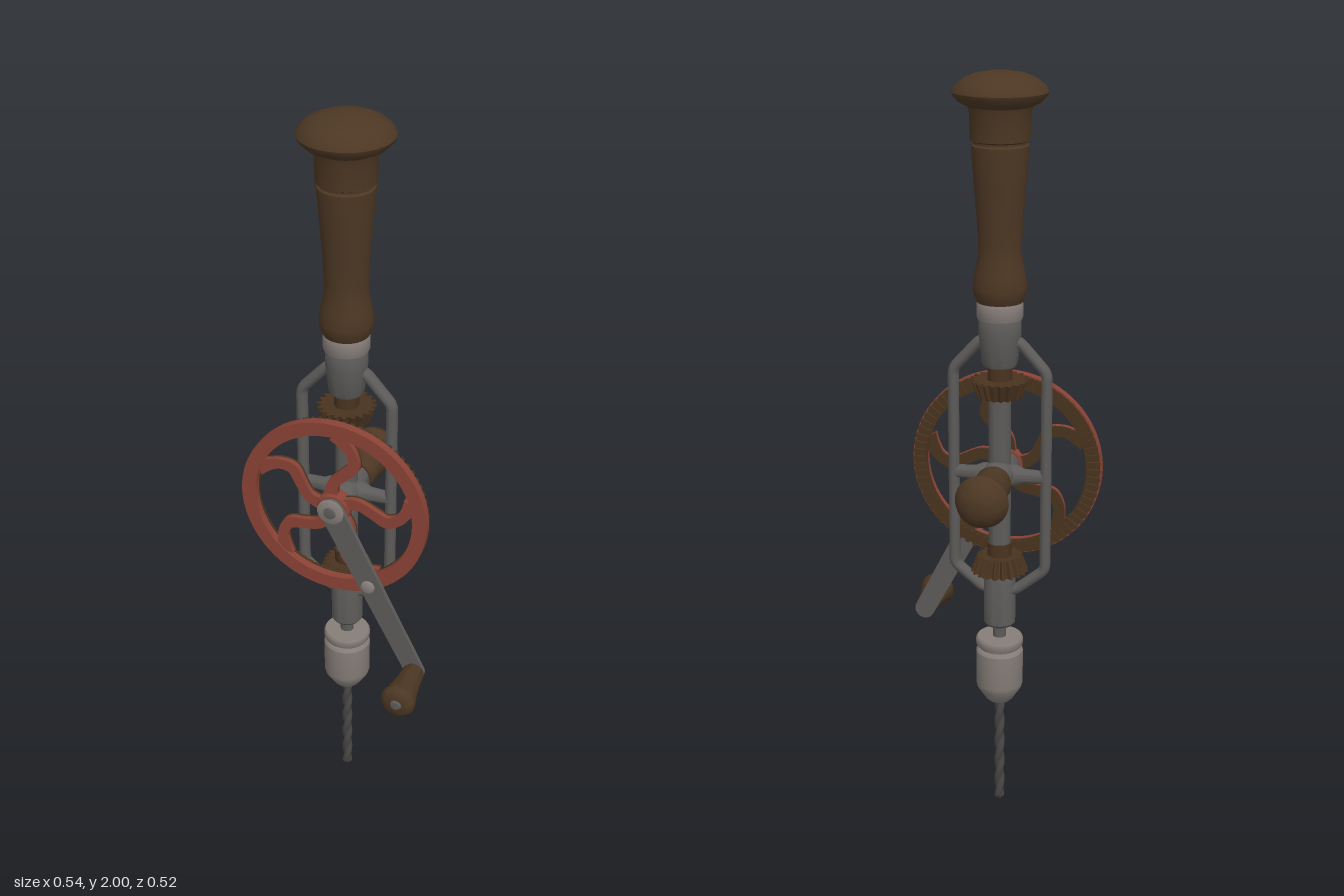
import * as THREE from 'three';
import { toCreasedNormals, mergeGeometries } from 'three/addons/utils/BufferGeometryUtils.js';

const mat = (name, color) => Object.assign(new THREE.MeshStandardMaterial({ color }), { name });

export function createModel() {
  const wood = mat('dark wood', 0x4c3723);
  const red = mat('worn red paint', 0x8a4236);
  const rust = mat('rusty brown', 0x49331f);
  const steel = mat('grey steel', 0x5c5b59);
  const pale = mat('pale steel', 0x857d78);
  const dark = mat('drill steel', 0x484644);

  const root = new THREE.Group();
  root.name = 'handDrill';
  const drill = new THREE.Group();
  drill.name = 'drillBody';
  drill.position.set(-0.015, 0, -0.008);
  root.add(drill);

  const add = (name, geo, material, parent = drill) => {
    const m = new THREE.Mesh(geo, material);
    m.name = name;
    parent.add(m);
    return m;
  };
  // Turned part: profile of [radius, height], rising
  const turned = (pts, seg = 32) => toCreasedNormals(
    new THREE.LatheGeometry(pts.map(p => new THREE.Vector2(p[0], p[1])), seg), 0.6);
  const rod = (r, a, b) => turned([[0, a], [r, a], [r, b], [0, b]], 20);

  // Main handle and cap
  add('handle', turned([[0, 1.437], [0.058, 1.437], [0.066, 1.455], [0.069, 1.475], [0.063, 1.51], [0.055, 1.55],
    [0.054, 1.58], [0.058, 1.65], [0.064, 1.73], [0.071, 1.815], [0.071, 1.825], [0.066, 1.829], [0.066, 1.834],
    [0.074, 1.838], [0.075, 1.9], [0.08, 1.918], [0.1, 1.928], [0.115, 1.943], [0.118, 1.952], [0.111, 1.966],
    [0.092, 1.981], [0.064, 1.993], [0.03, 1.999], [0, 2]]), wood);
  add('ferrule', turned([[0, 1.394], [0.057, 1.394], [0.059, 1.4], [0.059, 1.43], [0.056, 1.438], [0, 1.438]]), pale);
  add('upperSocket', turned([[0, 1.27], [0.042, 1.27], [0.046, 1.28], [0.054, 1.35], [0.054, 1.388],
    [0.05, 1.396], [0, 1.396]]), steel);

  // Spindle
  add('spindle', rod(0.029, 0.78, 1.19), steel);
  add('upperCollar', rod(0.032, 1.23, 1.275), rust);
  add('lowerCollar', rod(0.032, 0.745, 0.785), rust);

  // Bevel pinions, each with ridged cone
  const pinion = (flip) => {
    const teeth = 20, g = new THREE.CylinderGeometry(0.076, 0.059, 0.045, teeth * 4, 1);
    const p = g.attributes.position;
    for (let i = 0; i < p.count; i++) {
      const x = p.getX(i), z = p.getZ(i);
      const k = Math.round((Math.atan2(z, x) / (2 * Math.PI) + 1) * teeth * 4) % 4;
      const s = k < 2 ? 1 : 0.85;
      p.setXYZ(i, x * s, p.getY(i), z * s);
    }
    if (flip) g.rotateX(Math.PI);
    return toCreasedNormals(g, 0.3);
  };
  add('upperPinion', pinion(false), rust).position.y = 1.211;
  add('lowerPinion', pinion(true), rust).position.y = 0.727;

  // Lower socket, neck and chuck
  add('lowerSocket', turned([[0, 0.548], [0.036, 0.548], [0.042, 0.556], [0.042, 0.68], [0.036, 0.706], [0, 0.706]]), steel);
  add('neck', rod(0.018, 0.5, 0.55), steel);
  add('chuck', turned([[0, 0.32], [0.03, 0.32], [0.037, 0.327], [0.06, 0.362], [0.063, 0.375], [0.063, 0.47],
    [0.058, 0.477], [0.052, 0.478], [0.052, 0.484], [0.06, 0.485], [0.063, 0.49], [0.063, 0.506],
    [0.059, 0.512], [0, 0.512]]), pale);

  // Twisted bit with a pointed tip
  const bit = new THREE.CylinderGeometry(0.0145, 0.0145, 0.33, 16, 90);
  const bp = bit.attributes.position;
  for (let i = 0; i < bp.count; i++) {
    const y = bp.getY(i) + 0.165, x = bp.getX(i), z = bp.getZ(i);
    const groove = 0.6 + 0.4 * Math.abs(Math.cos(Math.atan2(z, x) + y * 52));
    const s = groove * Math.min(1, (y + 0.001) / 0.014);
    bp.setXYZ(i, x * s, y, z * s);
  }
  bit.computeVertexNormals();
  add('drillBit', bit, dark).position.y = 0.002;

  // Side frame bars, mirrored
  for (const s of [1, -1]) {
    const corners = [[0.02, 1.34], [0.05, 1.335], [0.122, 1.255], [0.122, 0.715], [0.045, 0.652], [0.02, 0.648]]
      .map(c => new THREE.Vector3(c[0] * s, c[1], 0));
    const path = new THREE.CurvePath();
    let from = corners[0];
    for (let i = 1; i < corners.length - 1; i++) {
      const c = corners[i];
      const a = c.clone().add(corners[i - 1].clone().sub(c).setLength(0.015));
      const b = c.clone().add(corners[i + 1].clone().sub(c).setLength(0.015));
      path.add(new THREE.LineCurve3(from, a));
      path.add(new THREE.QuadraticBezierCurve3(a, c, b));
      from = b;
    }
    path.add(new THREE.LineCurve3(from, corners[corners.length - 1]));
    const bar = new THREE.TubeGeometry(path, 90, 0.0145, 12);
    bar.scale(1, 1, 1.25);
    add('frameBar', bar, steel);
    // Cross arm from hub to frame bar
    const arm = turned([[0.03, 0.02], [0.028, 0.045], [0.019, 0.065], [0.017, 0.122]], 16);
    arm.rotateZ(-s * Math.PI / 2);
    add('crossArm', arm, steel).position.y = 0.975;
  }

  // Parts on the crank axis
  const axis = new THREE.Group();
  axis.name = 'crankAxis';
  axis.position.set(0, 0.975, 0.008);
  drill.add(axis);
  const alongZ = (pts, dir = 1, seg = 28) => turned(pts, seg).rotateX(dir * Math.PI / 2);
  add('axleBoss', alongZ([[0, -0.06], [0.036, -0.06], [0.042, -0.05], [0.042, 0.06], [0.036, 0.075], [0, 0.075]], -1), steel, axis);
  add('sideHandle', alongZ([[0, 0.07], [0.044, 0.07], [0.047, 0.08], [0.048, 0.12], [0.054, 0.155], [0.064, 0.195],
    [0.069, 0.209], [0.062, 0.228], [0.05, 0.245], [0.028, 0.257], [0, 0.26]], -1), wood, axis);

  // Drive wheel: painted front layer, rusty back layer
  const wheel = new THREE.Group();
  wheel.name = 'driveWheel';
  axis.add(wheel);
  const slab = (shape, depth, z) => new THREE.ExtrudeGeometry(shape,
    { depth, bevelEnabled: false, curveSegments: 48 }).translate(0, 0, z);
  const ring = (outer, inner) => {
    const s = new THREE.Shape().absarc(0, 0, outer, 0, Math.PI * 2);
    s.holes.push(new THREE.Path().absarc(0, 0, inner, 0, Math.PI * 2, true));
    return s;
  };
  add('rim', toCreasedNormals(slab(ring(0.254, 0.216), 0.023, 0.07), 0.5), red, wheel);
  add('rimBack', toCreasedNormals(slab(ring(0.25, 0.214), 0.006, 0.065), 0.5), rust, wheel);
  const teeth = [];
  for (let i = 0; i < 72; i++) {
    teeth.push(new THREE.BoxGeometry(0.034, 0.011, 0.009).translate(0.235, 0, 0.063).rotateZ(i / 72 * Math.PI * 2));
  }
  add('rimTeeth', mergeGeometries(teeth), rust, wheel);

  // S-curved spokes: [radius, angle offset, half width]
  const rows = [[0.025, 20, 0.018], [0.07, 7, 0.015], [0.11, -10, 0.015], [0.145, -17, 0.016], [0.18, -11, 0.014],
    [0.203, -3, 0.017], [0.222, 2, 0.026]];
  const curve = new THREE.CatmullRomCurve3(rows.map(([r, a, w]) => {
    const t = a * Math.PI / 180;
    return new THREE.Vector3(r * Math.cos(t), r * Math.sin(t), w);
  }));
  const left = [], right = [];
  for (let i = 0; i <= 24; i++) {
    const p = curve.getPoint(i / 24), t = curve.getTangent(i / 24);
    const n = new THREE.Vector2(-t.y, t.x).normalize().multiplyScalar(p.z);
    left.push(new THREE.Vector2(p.x + n.x, p.y + n.y));
    right.unshift(new THREE.Vector2(p.x - n.x, p.y - n.y));
  }
  const spoke = new THREE.Shape([...right, ...left]);
  for (let i = 0; i < 5; i++) {
    const turn = (13 + 72 * i) * Math.PI / 180;
    add('spoke', toCreasedNormals(slab(spoke, 0.014, 0.075), 0.5), red, wheel).rotation.z = turn;
    add('spokeBack', toCreasedNormals(slab(spoke, 0.007, 0.068), 0.5), rust, wheel).rotation.z = turn;
  }
  add('wheelHub', alongZ([[0, 0.06], [0.045, 0.06], [0.045, 0.088], [0.038, 0.094], [0, 0.094]]), red, wheel);

  // Crank arm, a tapered bar with rounded ends
  const dx = 0.237, dy = -0.459, len = Math.hypot(dx, dy);
  const crank = new THREE.Group();
  crank.name = 'crank';
  crank.rotation.z = Math.atan2(dy, dx);
  axis.add(crank);
  const bar = new THREE.Shape();
  bar.absarc(0, 0, 0.034, Math.PI / 2, Math.PI * 1.5);
  bar.absarc(len, 0, 0.027, -Math.PI / 2, Math.PI / 2);
  add('crankArm', toCreasedNormals(slab(bar, 0.012, 0.095), 0.5), steel, crank);
  add('hubWasher', alongZ([[0, 0.106], [0.036, 0.106], [0.036, 0.11], [0.03, 0.113], [0, 0.113]]), pale, crank);
  add('hubNut', alongZ([[0, 0.112], [0.017, 0.112], [0.015, 0.118], [0, 0.121]], 1, 16), steel, crank);
  add('lockScrew', alongZ([[0, 0.106], [0.011, 0.106], [0.011, 0.113], [0.019, 0.114], [0.018, 0.12],
    [0.01, 0.125], [0, 0.126]], 1, 20), pale, crank).position.x = 0.232;
  add('crankKnob', alongZ([[0, 0.107], [0.027, 0.107], [0.03, 0.114], [0.032, 0.15], [0.038, 0.19], [0.046, 0.225],
    [0.047, 0.233], [0.042, 0.243], [0.032, 0.25], [0, 0.251]]), wood, crank).position.x = len;
  add('knobPin', alongZ([[0, 0.25], [0.016, 0.25], [0.012, 0.255], [0, 0.257]], 1, 16), steel, crank).position.x = len;
  return root;
}
